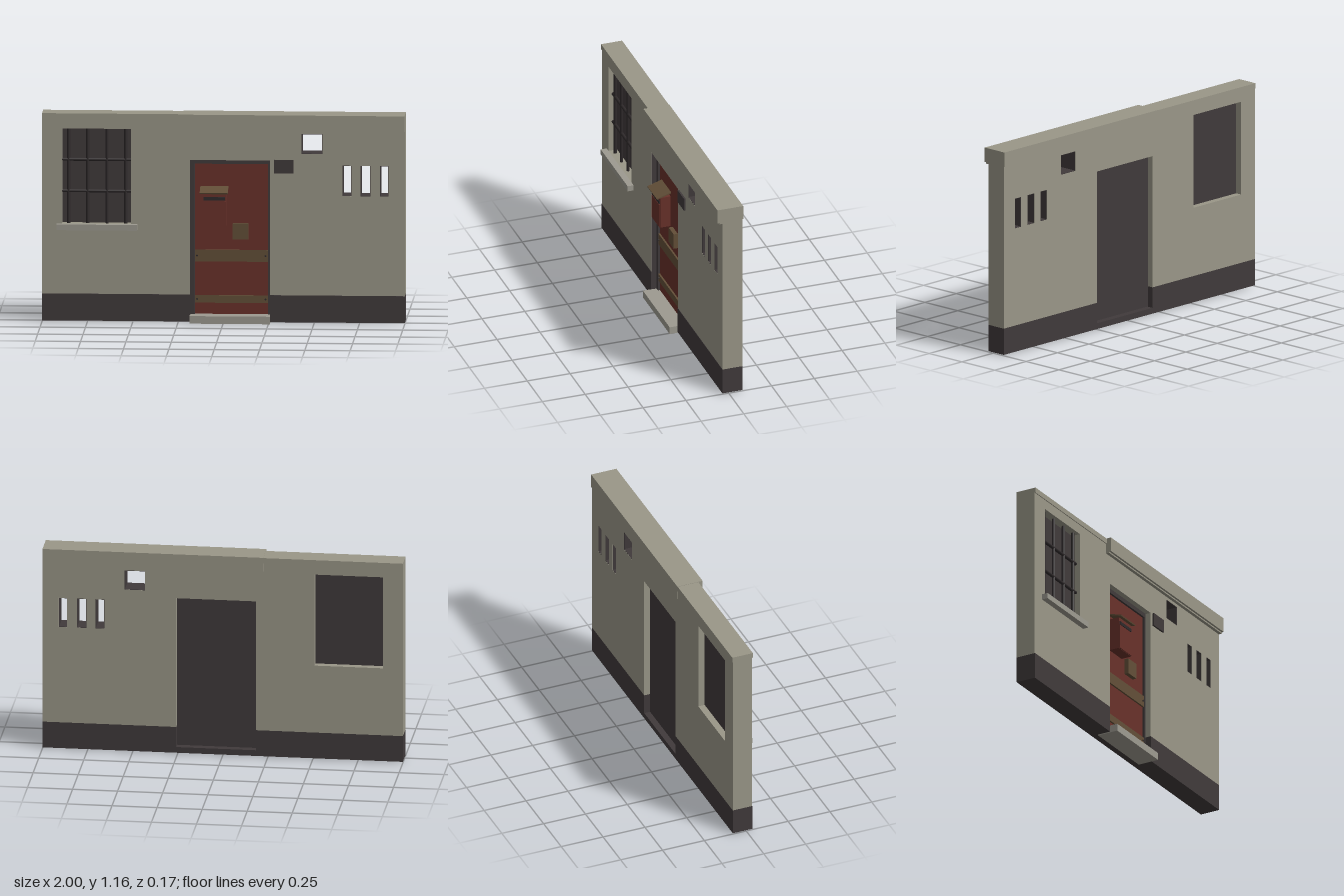
import * as THREE from 'three';

const mat = (name, color) => {
  const m = new THREE.MeshStandardMaterial({ color });
  m.name = name;
  return m;
};

export function createModel() {
  const root = new THREE.Group();
  root.name = 'houseFacade';
  const plaster = mat('plaster', 0x9a9788);
  const stone = mat('paleStone', 0x9d9a90);
  const charcoal = mat('charcoal', 0x403a3b);
  const iron = mat('iron', 0x2f2a2b);
  const red = mat('redPaint', 0x69312a);
  const brown = mat('brownMetal', 0x634f38);

  const add = (name, geo, m, parent = root) => {
    const mesh = new THREE.Mesh(geo, m);
    mesh.name = name;
    parent.add(mesh);
    return mesh;
  };
  // Box given by its limits on each axis
  const box = (name, m, x0, x1, y0, y1, z0, z1, parent = root) => {
    const mesh = add(name, new THREE.BoxGeometry(x1 - x0, y1 - y0, z1 - z0), m, parent);
    mesh.position.set((x0 + x1) / 2, (y0 + y1) / 2, (z0 + z1) / 2);
    return mesh;
  };
  const group = (name) => {
    const g = new THREE.Group();
    g.name = name;
    root.add(g);
    return g;
  };

  const back = -0.08, front = 0.035, baseTop = 0.155;
  const door = [-0.185, 0.258, 0.04, 0.905];
  const win = [-0.89, -0.51, 0.545, 1.075];
  const vents = [
    [0.43, 0.545, 0.943, 1.055],
    [0.657, 0.706, 0.71, 0.88],
    [0.757, 0.81, 0.71, 0.88],
    [0.863, 0.91, 0.71, 0.88],
  ];

  // Upper wall with a door notch, window and vent openings
  const shape = new THREE.Shape();
  [[-1, baseTop], [door[0], baseTop], [door[0], door[3]], [door[1], door[3]],
    [door[1], baseTop], [1, baseTop], [1, 1.13], [-1, 1.13]]
    .forEach(([x, y], i) => (i ? shape.lineTo(x, y) : shape.moveTo(x, y)));
  for (const [x0, x1, y0, y1] of [win, ...vents]) {
    const hole = new THREE.Path();
    hole.moveTo(x0, y0);
    hole.lineTo(x0, y1);
    hole.lineTo(x1, y1);
    hole.lineTo(x1, y0);
    hole.closePath();
    shape.holes.push(hole);
  }
  const wallGeo = new THREE.ExtrudeGeometry(shape, { depth: front - back, bevelEnabled: false });
  wallGeo.translate(0, 0, back);
  add('wall', wallGeo, plaster);

  // Dark linings inside the vents
  const t = 0.002;
  for (const [x0, x1, y0, y1] of vents) {
    const g = group('ventLining');
    const z0 = back + 0.001, z1 = front - 0.001;
    box('side', charcoal, x0, x0 + t, y0, y1, z0, z1, g);
    box('side', charcoal, x1 - t, x1, y0, y1, z0, z1, g);
    box('bottom', charcoal, x0, x1, y0, y0 + t, z0, z1, g);
    box('top', charcoal, x0, x1, y1 - t, y1, z0, z1, g);
  }

  // Painted base course, with a strip behind the doorstep
  box('baseLeftOfDoor', charcoal, -1, door[0], 0.005, baseTop, back, 0.037);
  box('baseRightOfDoor', charcoal, door[1], 1, 0.005, baseTop, back, 0.037);
  box('baseUnderDoor', charcoal, door[0], door[1], 0.005, 0.038, back, -0.04);

  // Parapet caps
  box('lowCap', plaster, -1, -0.225, 1.13, 1.16, -0.083, 0.04);
  box('highCap', plaster, -0.225, 1, 1.08, 1.162, -0.085, 0.066);
  box('highCapLip', plaster, -0.225, 1, 1.072, 1.08, -0.079, 0.054);

  // Window: recessed panel, sill and iron bars
  box('windowPanel', charcoal, win[0], win[1], win[2], win[3], -0.042, -0.015);
  box('windowSill', stone, -0.92, -0.475, 0.513, 0.545, 0.03, 0.07);
  const bars = group('windowBars');
  const uprightGeo = new THREE.CylinderGeometry(0.009, 0.009, win[3] - win[2], 12);
  for (const x of [-0.855, -0.75, -0.643, -0.54]) {
    add('uprightBar', uprightGeo, iron, bars).position.set(x, (win[2] + win[3]) / 2, 0.008);
  }
  const crossGeo = new THREE.CylinderGeometry(0.009, 0.009, win[1] - win[0], 12);
  crossGeo.rotateZ(Math.PI / 2);
  for (const y of [0.725, 0.9]) {
    add('crossBar', crossGeo, iron, bars).position.set((win[0] + win[1]) / 2, y, 0.008);
  }

  // Door frame, leaf and step
  const frame = group('doorFrame');
  box('jamb', charcoal, door[0], -0.16, 0.04, door[3], -0.044, 0.004, frame);
  box('jamb', charcoal, 0.243, door[1], 0.04, door[3], -0.044, 0.004, frame);
  box('head', charcoal, door[0], door[1], 0.88, door[3], -0.044, 0.004, frame);
  box('lining', charcoal, door[0], door[0] + t, 0.04, door[3], 0, 0.034, frame);
  box('doorBack', charcoal, door[0], door[1], 0.04, door[3], -0.046, -0.04);
  box('doorLeaf', red, -0.16, 0.243, 0.04, 0.88, -0.04, -0.008);
  box('doorStep', stone, door[0], door[1], 0, 0.042, -0.04, 0.083);

  // Straps with bolts, and lock plate
  const boltGeo = new THREE.CylinderGeometry(0.005, 0.005, 0.006, 10);
  boltGeo.rotateX(Math.PI / 2);
  for (const [y0, y1] of [[0.335, 0.4], [0.105, 0.147]]) {
    box('doorStrap', brown, -0.16, 0.243, y0, y1, -0.01, 0.002);
    for (const x of [-0.147, 0.23]) {
      add('strapBolt', boltGeo, iron).position.set(x, (y0 + y1) / 2, 0.003);
    }
  }
  box('lockPlate', brown, 0.05, 0.135, 0.46, 0.55, -0.01, 0.016);

  // Letter box with sloping lid
  const letterBox = group('letterBox');
  box('body', red, -0.117, 0.017, 0.538, 0.724, -0.01, 0.053, letterBox);
  box('flap', red, -0.115, 0.015, 0.54, 0.68, 0.053, 0.058, letterBox);
  box('slot', iron, -0.11, 0.01, 0.684, 0.702, 0.053, 0.058, letterBox);
  const lid = add('lid', new THREE.BoxGeometry(0.155, 0.007, 0.092), brown, letterBox);
  lid.position.set(-0.052, 0.738, 0.032);
  lid.rotation.x = 0.3;

  // Blank wall plaque
  box('plaque', charcoal, 0.278, 0.387, 0.836, 0.91, 0.03, 0.045);

  return root;
}
